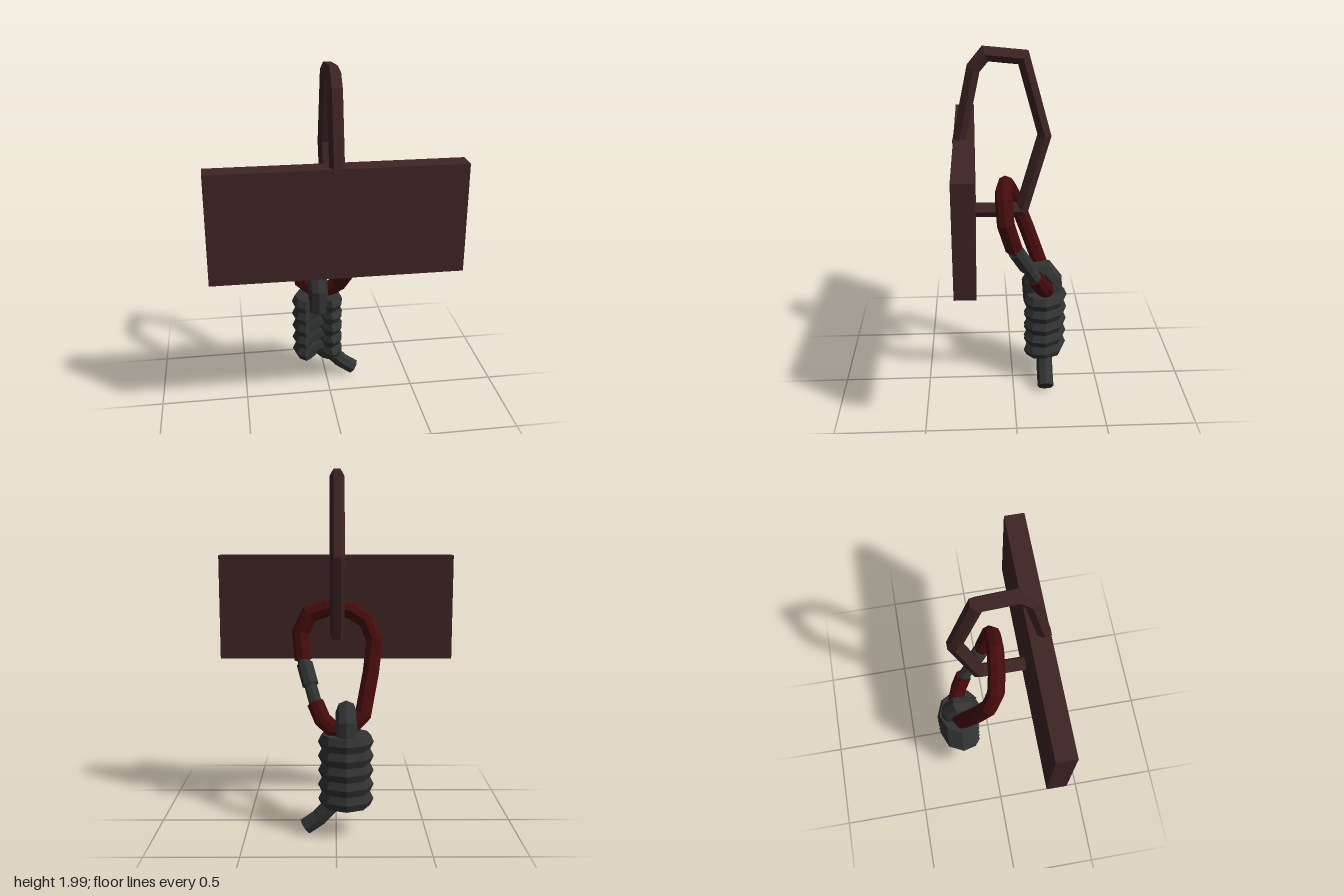
import * as THREE from 'three';

const V = (p) => new THREE.Vector3(...p);

// Faceted solid through rings of equal size, counter-clockwise about the travel direction
function loft(rings) {
  const pos = [];
  const tri = (...pts) => pts.forEach((p) => pos.push(p.x, p.y, p.z));
  const n = rings[0].length;
  const middle = (r) => r.reduce((s, p) => s.add(p), new THREE.Vector3()).divideScalar(n);
  const first = rings[0], last = rings[rings.length - 1];
  const c0 = middle(first), c1 = middle(last);
  for (let j = 0; j < n; j++) {
    const k = (j + 1) % n;
    for (let i = 0; i < rings.length - 1; i++) {
      const a = rings[i], b = rings[i + 1];
      tri(a[j], a[k], b[k]);
      tri(a[j], b[k], b[j]);
    }
    tri(c0, first[k], first[j]);
    tri(c1, last[j], last[k]);
  }
  const g = new THREE.BufferGeometry();
  g.setAttribute('position', new THREE.Float32BufferAttribute(pos, 3));
  g.computeVertexNormals();
  return g;
}

// Straight-sided bar along a path, with mitred corners
function bar(path, radius, sides = 8) {
  const p = path.map(V);
  const dir = p.slice(1).map((q, i) => q.clone().sub(p[i]).normalize());
  const ref = Math.abs(dir[0].x) > 0.9 ? V([0, 0, 1]) : V([1, 0, 0]);
  const u = ref.addScaledVector(dir[0], -ref.dot(dir[0])).normalize();
  const v = dir[0].clone().cross(u);
  let ring = Array.from({ length: sides }, (_, i) => {
    const a = (i / sides) * Math.PI * 2;
    return p[0].clone().addScaledVector(u, radius * Math.cos(a)).addScaledVector(v, radius * Math.sin(a));
  });
  const rings = [ring];
  for (let i = 1; i < p.length; i++) {
    const d = dir[i - 1];
    const plane = d.clone().add(dir[i] || d).normalize();
    ring = ring.map((q) => q.clone().addScaledVector(d, p[i].clone().sub(q).dot(plane) / d.dot(plane)));
    rings.push(ring);
  }
  return loft(rings);
}

export function createModel() {
  const model = new THREE.Group();
  const material = (name, color) => {
    const m = new THREE.MeshStandardMaterial({ color });
    m.name = name;
    return m;
  };
  const brown = material('dark brown', 0x3f2425);
  const red = material('dark red', 0x450b0c);
  const grey = material('charcoal', 0x323333);
  const add = (name, geometry, mat, parent = model) => {
    const m = new THREE.Mesh(geometry, mat);
    m.name = name;
    parent.add(m);
    return m;
  };

  // Board
  add('board', new THREE.BoxGeometry(1.35, 0.6, 0.11), brown).position.set(0, 1.22, 0.26);

  // Bent hanger rod, from the board's top over and back into its rear
  add('hanger', bar([
    [-0.005, 1.49, 0.288], [-0.005, 1.89, 0.202], [-0.005, 1.965, 0.14], [-0.005, 1.945, -0.055],
    [-0.005, 1.53, -0.17], [-0.005, 1.105, -0.05], [-0.005, 1.105, 0.22],
  ], 0.04, 6), brown);

  // Carabiner: open red hook closed by a grey gate
  const carabiner = new THREE.Group();
  carabiner.name = 'carabiner';
  model.add(carabiner);
  add('hook', bar([
    [0.185, 0.95, 0.0], [0.2, 1.1, 0.045], [0.15, 1.2, 0.052], [0.05, 1.235, 0.05],
    [-0.08, 1.225, 0.035], [-0.17, 1.17, 0.015], [-0.212, 1.07, -0.03], [-0.19, 0.9, -0.095],
    [-0.145, 0.68, -0.175], [-0.07, 0.605, -0.2], [0.02, 0.605, -0.19], [0.075, 0.65, -0.165], [0.115, 0.735, -0.125],
  ], 0.047), red, carabiner);
  const gateTop = V([0.185, 0.96, 0.005]), gateEnd = V([0.11, 0.72, -0.13]);
  const along = (t) => gateTop.clone().lerp(gateEnd, t).toArray();
  add('gate', bar([along(0), along(1)], 0.035), grey, carabiner);
  add('gateSleeve', bar([along(0.12), along(0.58)], 0.045), grey, carabiner);

  // Rope eye over the bottom of the carabiner
  const knot = new THREE.Group();
  knot.name = 'knot';
  model.add(knot);
  add('ropeEye', bar([
    [-0.055, 0.5, -0.24], [-0.055, 0.64, -0.232], [-0.055, 0.698, -0.19],
    [-0.055, 0.69, -0.145], [-0.055, 0.63, -0.115], [-0.055, 0.5, -0.125],
  ], 0.058), grey, knot);

  // Stacked coils with a groove down the front
  const outline = [
    [-0.06, -0.16], [-0.025, -0.1], [0.03, -0.065], [0.085, -0.11], [0.1, -0.19], [0.05, -0.28],
    [-0.055, -0.322], [-0.16, -0.28], [-0.205, -0.19], [-0.185, -0.11], [-0.14, -0.075], [-0.1, -0.11],
  ];
  const turns = 5, bottom = 0.17, pitch = 0.081;
  const coilRings = [];
  for (let i = 0; i <= turns * 2; i++) {
    const s = i % 2 ? 1 : 0.87;
    coilRings.push(outline.map(([x, z]) =>
      V([-0.055 + (x + 0.055) * s, bottom + (i * pitch) / 2, -0.195 + (z + 0.195) * s])));
  }
  add('coils', loft(coilRings), grey, knot);

  // Slanted rope crossings inside the groove
  for (let i = 0; i < turns - 1; i++) {
    const y = bottom + 0.04 + i * pitch;
    add('ropeCrossing', bar([[-0.14, y, -0.13], [0.0, y + 0.07, -0.135]], 0.036, 6), grey, knot);
  }

  // Loose rope tail
  add('ropeTail', bar([
    [-0.02, 0.24, -0.187], [0.025, 0.175, -0.187], [0.095, 0.098, -0.187], [0.17, 0.045, -0.187],
  ], 0.047), grey, knot);

  return model;
}
